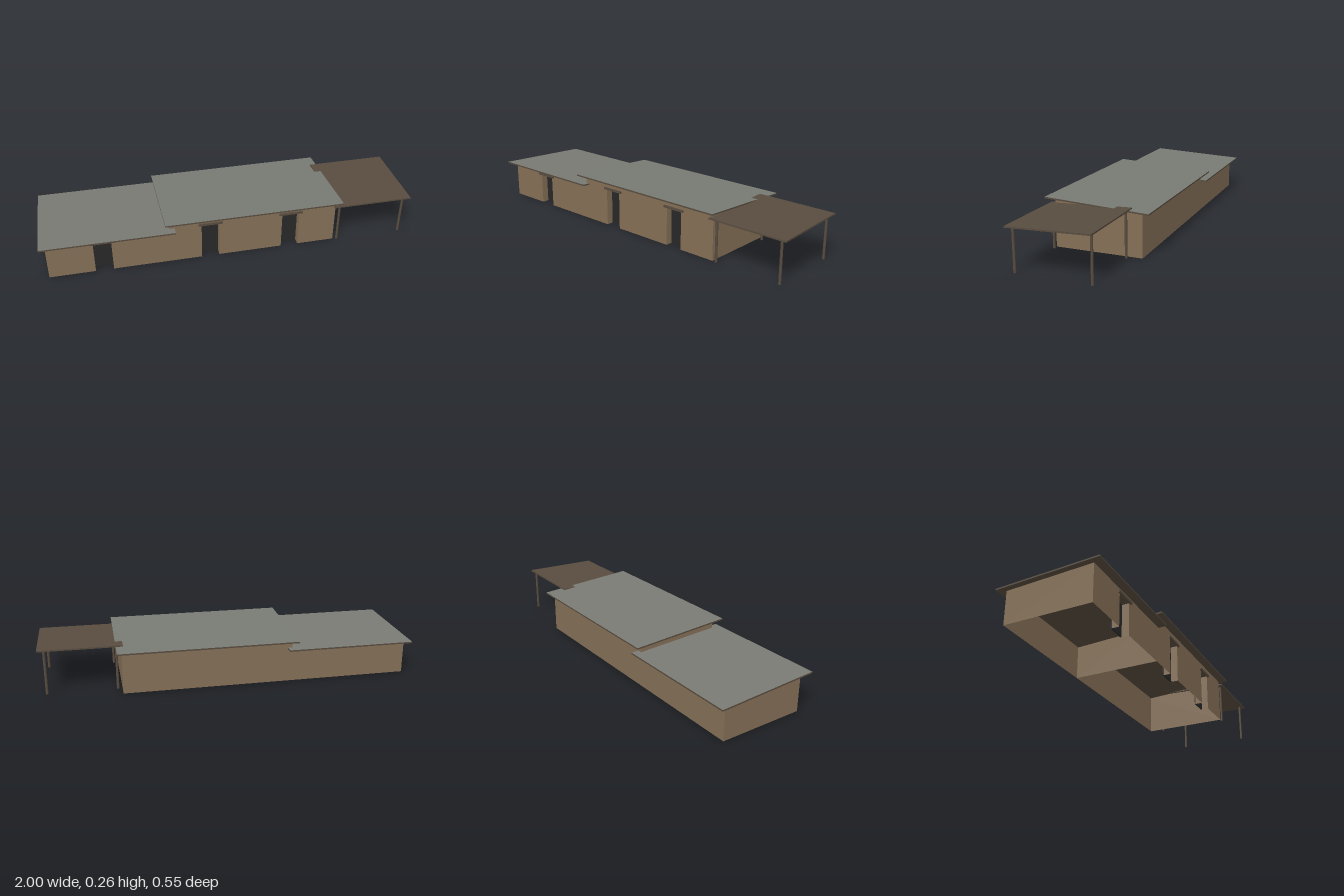
import * as THREE from 'three';
import { mergeGeometries } from 'three/addons/utils/BufferGeometryUtils.js';

const FRONT = 0.23, BACK = -0.235, RECESS = 0.19, DOOR_W = 0.095;

const mat = (name, color, side = THREE.FrontSide) => {
  const m = new THREE.MeshStandardMaterial({ color, side });
  m.name = name;
  return m;
};

// flat four-cornered panel, corners in order
function quad(a, b, c, d) {
  const g = new THREE.BufferGeometry();
  g.setAttribute('position', new THREE.Float32BufferAttribute([a, b, c, a, c, d].flat(), 3));
  g.computeVertexNormals();
  return g;
}

export function createModel() {
  const house = new THREE.Group();
  house.name = 'house';
  const plaster = mat('plaster', 0x846f56, THREE.DoubleSide);
  const wood = mat('dark wood', 0x584c3f);
  const roofing = mat('grey roofing', 0x787a73);
  const doorPaint = mat('black door', 0x282828);

  const add = (name, geometry, material, parent = house) => {
    const m = new THREE.Mesh(geometry, material);
    m.name = name;
    parent.add(m);
    return m;
  };
  const box = (name, x0, x1, y0, y1, z0, z1, material, parent) => {
    const g = new THREE.BoxGeometry(x1 - x0, y1 - y0, z1 - z0);
    return add(name, g.translate((x0 + x1) / 2, (y0 + y1) / 2, (z0 + z1) / 2), material, parent);
  };

  // sloping slab: box sheared so its height runs from yBack to yFront
  function slab(name, x0, x1, zBack, zFront, yBack, yFront, top) {
    const g = new THREE.BoxGeometry(x1 - x0, 0.008, zFront - zBack);
    g.translate((x0 + x1) / 2, 0.004, (zBack + zFront) / 2);
    const p = g.attributes.position;
    for (let i = 0; i < p.count; i++) {
      const t = (p.getZ(i) - zBack) / (zFront - zBack);
      p.setY(i, p.getY(i) + yBack + (yFront - yBack) * t);
    }
    g.computeVertexNormals();
    return add(name, g, [wood, wood, top, wood, wood, wood]);
  }

  // one wing: open shell of thin walls with recessed doorways
  function wing(name, x0, x1, hFront, hBack, doors, doorH, ends) {
    const group = new THREE.Group();
    group.name = name;
    house.add(group);
    const panels = [];
    const outline = [[x0, 0]];
    for (const x of doors) {
      const a = x - DOOR_W / 2, b = x + DOOR_W / 2;
      outline.push([a, 0], [a, doorH], [b, doorH], [b, 0]);
      // sides and head of the recess
      for (const s of [a, b])
        panels.push(quad([s, 0, RECESS], [s, 0, FRONT], [s, doorH, FRONT], [s, doorH, RECESS]));
      panels.push(quad([a, doorH, RECESS], [b, doorH, RECESS], [b, doorH, FRONT], [a, doorH, FRONT]));
      box('door', a, b, 0, doorH, RECESS - 0.004, RECESS + 0.002, doorPaint, group);
      box('lintel', x - 0.064, x + 0.064, doorH - 0.001, doorH + 0.011, 0.183, 0.238, wood, group);
    }
    outline.push([x1, 0], [x1, hFront], [x0, hFront]);
    const shape = new THREE.Shape(outline.map(([x, y]) => new THREE.Vector2(x, y)));
    const front = new THREE.ShapeGeometry(shape).toNonIndexed().translate(0, 0, FRONT);
    front.deleteAttribute('uv');
    panels.push(front, quad([x1, 0, BACK], [x0, 0, BACK], [x0, hBack, BACK], [x1, hBack, BACK]));
    for (const x of ends) {
      const corners = [[x, 0, FRONT], [x, 0, BACK], [x, hBack, BACK], [x, hFront, FRONT]];
      panels.push(quad(...(x === x1 ? corners : corners.reverse())));
    }
    add('walls', mergeGeometries(panels), plaster, group);
  }

  wing('lowWing', -0.97, -0.33, 0.202, 0.181, [-0.683], 0.174, [-0.97]);
  wing('highWing', -0.33, 0.577, 0.251, 0.226, [-0.115, 0.325], 0.206, [-0.33, 0.577]);

  slab('lowRoof', -1, -0.305, -0.275, 0.275, 0.179, 0.203, roofing);
  slab('highRoof', -0.358, 0.603, -0.275, 0.275, 0.224, 0.253, roofing);

  // open shelter on four posts
  slab('shelterRoof', 0.565, 1, -0.175, 0.255, 0.236, 0.221, wood);
  for (const x of [0.6, 0.965])
    for (const [z, h] of [[0.231, 0.223], [-0.159, 0.237]])
      add('post', new THREE.CylinderGeometry(0.0068, 0.0068, h, 8).translate(x, h / 2, z), wood);

  return house;
}
